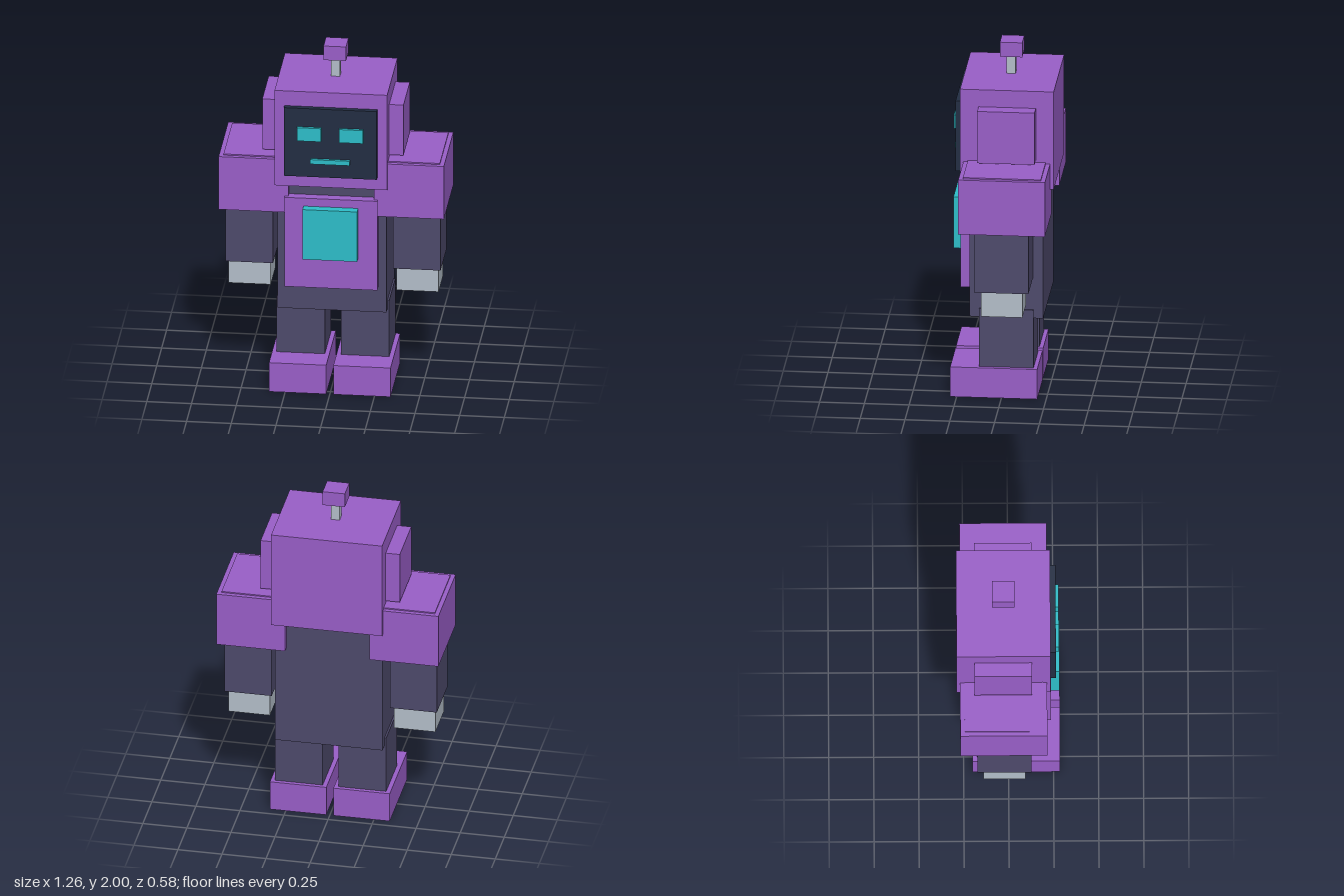
import * as THREE from 'three';

export function createModel() {
  const root = new THREE.Group();
  root.name = 'robot';

  const colour = (name, hex, side = THREE.FrontSide) => {
    const m = new THREE.MeshStandardMaterial({ color: hex, side });
    m.name = name;
    return m;
  };
  const purple = colour('purple', 0x9a5fc9, THREE.DoubleSide);
  const slate = colour('slate', 0x4e4a6c);
  const cyan = colour('cyan', 0x2dbfca);
  const navy = colour('navy', 0x222d43);
  const grey = colour('grey', 0xb4bfca);

  // Box given by its extents along each axis
  function box(name, mat, [x0, x1], [y0, y1], [z0, z1], openBottom = false) {
    const geo = new THREE.BoxGeometry(x1 - x0, y1 - y0, z1 - z0);
    if (openBottom) {
      // drop the downward face (fourth of the six sides)
      geo.setIndex(Array.from(geo.index.array).filter((_, i) => i < 18 || i >= 24));
      geo.clearGroups();
    }
    const mesh = new THREE.Mesh(geo, mat);
    mesh.name = name;
    mesh.position.set((x0 + x1) / 2, (y0 + y1) / 2, (z0 + z1) / 2);
    root.add(mesh);
  }

  // The same box on both sides of the body
  function pair(name, mat, [x0, x1], y, z, openBottom) {
    box('left' + name, mat, [x0, x1], y, z, openBottom);
    box('right' + name, mat, [-x1, -x0], y, z, openBottom);
  }

  // Torso and chest
  box('torso', slate, [-0.305, 0.305], [0.465, 1.22], [-0.23, 0.18]);
  box('chestPlate', purple, [-0.26, 0.26], [0.62, 1.16], [0.17, 0.235]);
  box('chestScreen', cyan, [-0.153, 0.153], [0.81, 1.112], [0.23, 0.285]);

  // Head and face
  box('head', purple, [-0.315, 0.315], [1.23, 1.805], [-0.29, 0.233]);
  box('facePanel', navy, [-0.26, 0.26], [1.303, 1.716], [0.22, 0.263]);
  box('mouth', cyan, [-0.11, 0.11], [1.388, 1.415], [0.255, 0.28]);
  pair('Eye', cyan, [0.05, 0.185], [1.525, 1.605], [0.255, 0.28]);
  pair('Ear', purple, [0.31, 0.395], [1.4, 1.705], [-0.19, 0.13]);

  // Antenna
  box('antennaStem', grey, [-0.025, 0.025], [1.8, 1.92], [-0.05, 0]);
  box('antennaTip', purple, [-0.063, 0.063], [1.915, 2], [-0.091, 0.034]);

  // Arms
  pair('Shoulder', purple, [0.24, 0.63], [1.06, 1.38], [-0.27, 0.214]);
  pair('ShoulderCap', purple, [0.265, 0.605], [1.3, 1.387], [-0.245, 0.19]);
  pair('Arm', slate, [0.335, 0.602], [0.71, 1.1], [-0.175, 0.127]);
  pair('Hand', grey, [0.352, 0.587], [0.565, 0.712], [-0.14, 0.092]);

  // Legs end inside boots that are open underneath
  pair('Leg', slate, [0.045, 0.315], [0.11, 0.515], [-0.177, 0.128]);
  pair('Boot', purple, [0.02, 0.34], [0, 0.175], [-0.2, 0.286], true);

  return root;
}
